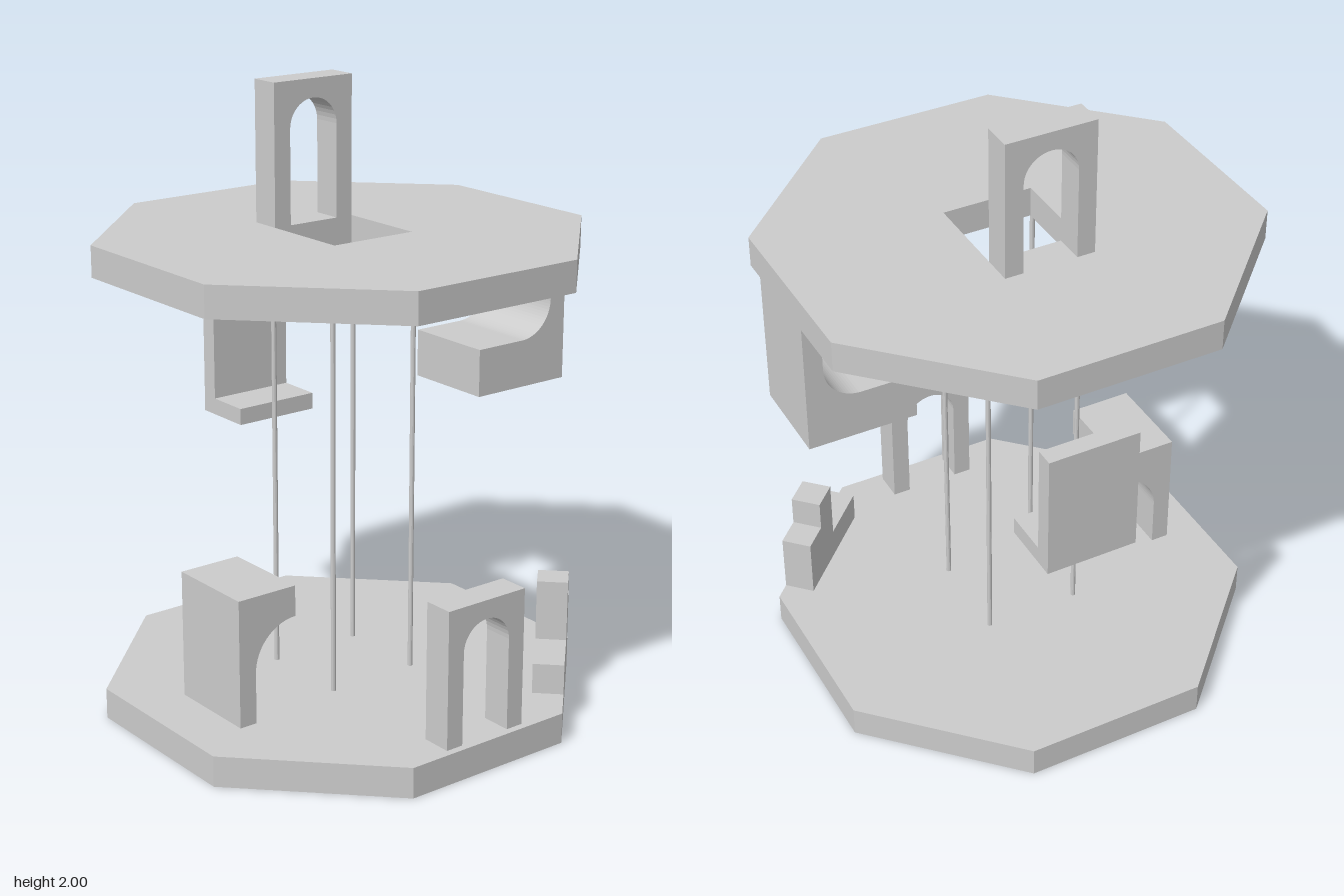
import * as THREE from 'three';

const INR = 0.724; // octagon centre to flat side
const material = new THREE.MeshStandardMaterial({ color: 0xcccccc, flatShading: true });

function add(parent, name, geometry, x = 0, y = 0, z = 0) {
  const mesh = new THREE.Mesh(geometry, material);
  mesh.name = name;
  mesh.position.set(x, y, z);
  parent.add(mesh);
  return mesh;
}

const polygon = (points) => new THREE.Shape(points.map(([x, y]) => new THREE.Vector2(x, y)));

const extrude = (shape, depth) =>
  new THREE.ExtrudeGeometry(shape, { depth, bevelEnabled: false, curveSegments: 10 });

// Octagonal slab lying flat with its underside at y = 0
function slab(withHole) {
  const r = INR / Math.cos(Math.PI / 8);
  const corners = [];
  for (let i = 0; i < 8; i++) {
    const a = Math.PI / 8 + (i * Math.PI) / 4;
    corners.push([r * Math.cos(a), r * Math.sin(a)]);
  }
  const shape = polygon(corners);
  if (withHole) {
    const h = 0.15;
    shape.holes.push(polygon([[-h, -h], [-h, h], [h, h], [h, -h]]));
  }
  return extrude(shape, 0.1).rotateX(-Math.PI / 2);
}

// Doorway with a round-headed opening
function archway() {
  const s = new THREE.Shape();
  s.moveTo(-0.15, 0);
  s.lineTo(-0.09, 0);
  s.lineTo(-0.09, 0.3);
  s.absarc(0, 0.3, 0.09, Math.PI, 0, true);
  s.lineTo(0.09, 0);
  s.lineTo(0.15, 0);
  s.lineTo(0.15, 0.45);
  s.lineTo(-0.15, 0.45);
  s.closePath();
  return extrude(s, 0.1);
}

// Half arch: a leg on the left and a slab on top, joined by a quarter round
function halfArch() {
  const s = new THREE.Shape();
  s.moveTo(-0.58, 0.125);
  s.lineTo(-0.52, 0.125);
  s.lineTo(-0.52, 0.29);
  s.absarc(-0.37, 0.29, 0.15, Math.PI, Math.PI / 2, true);
  s.lineTo(-0.37, 0.54);
  s.lineTo(-0.58, 0.54);
  s.closePath();
  return extrude(s, 0.305);
}

// Hanging ledge: a wall on the right and a seat at the bottom, joined by a quarter round
function hangingLedge() {
  const s = new THREE.Shape();
  s.moveTo(0.36, 1.0);
  s.lineTo(0.72, 1.0);
  s.lineTo(0.72, 1.45);
  s.lineTo(0.66, 1.45);
  s.lineTo(0.66, 1.275);
  s.absarc(0.54, 1.275, 0.12, 0, -Math.PI / 2, true);
  s.lineTo(0.36, 1.155);
  s.closePath();
  return extrude(s, 0.305);
}

export function createModel() {
  const model = new THREE.Group();
  model.name = 'twoStoreyPlatform';

  // Floors
  add(model, 'lowerFloor', slab(false));
  add(model, 'upperFloor', slab(true), 0, 1.45, 0);

  // Thin poles around the hatch
  for (const x of [-0.158, 0.158])
    for (const z of [-0.152, 0.152])
      add(model, 'pole', new THREE.CylinderGeometry(0.008, 0.008, 1.35, 12), x, 0.775, z);

  // Doorways
  add(model, 'upperArchway', archway(), 0, 1.55, -0.25);
  add(model, 'lowerArchway', archway(), 0, 0.1, 0.6);

  // Side brackets
  add(model, 'halfArch', halfArch(), 0, 0, -0.067);
  add(model, 'hangingLedge', hangingLedge(), 0, 0, -0.067);

  // Floating seat at the back
  const seat = new THREE.Group();
  seat.name = 'backSeat';
  add(seat, 'seatBack', new THREE.BoxGeometry(0.3, 0.42, 0.06), 0.097, 1.012, -0.67);
  add(seat, 'seatBase', new THREE.BoxGeometry(0.3, 0.056, 0.15), 0.097, 0.83, -0.565);
  model.add(seat);

  // Stepped wall flush with the front left diagonal edge
  const steps = polygon([
    [-0.16, 0.1], [0.24, 0.1], [0.24, 0.3], [0.14, 0.3],
    [0.14, 0.4], [0.04, 0.4], [0.04, 0.2], [-0.16, 0.2],
  ]);
  const wall = extrude(steps, 0.1).translate(0, 0, INR - 0.1).rotateY(Math.PI / 4);
  add(model, 'steppedWall', wall);

  return model;
}
